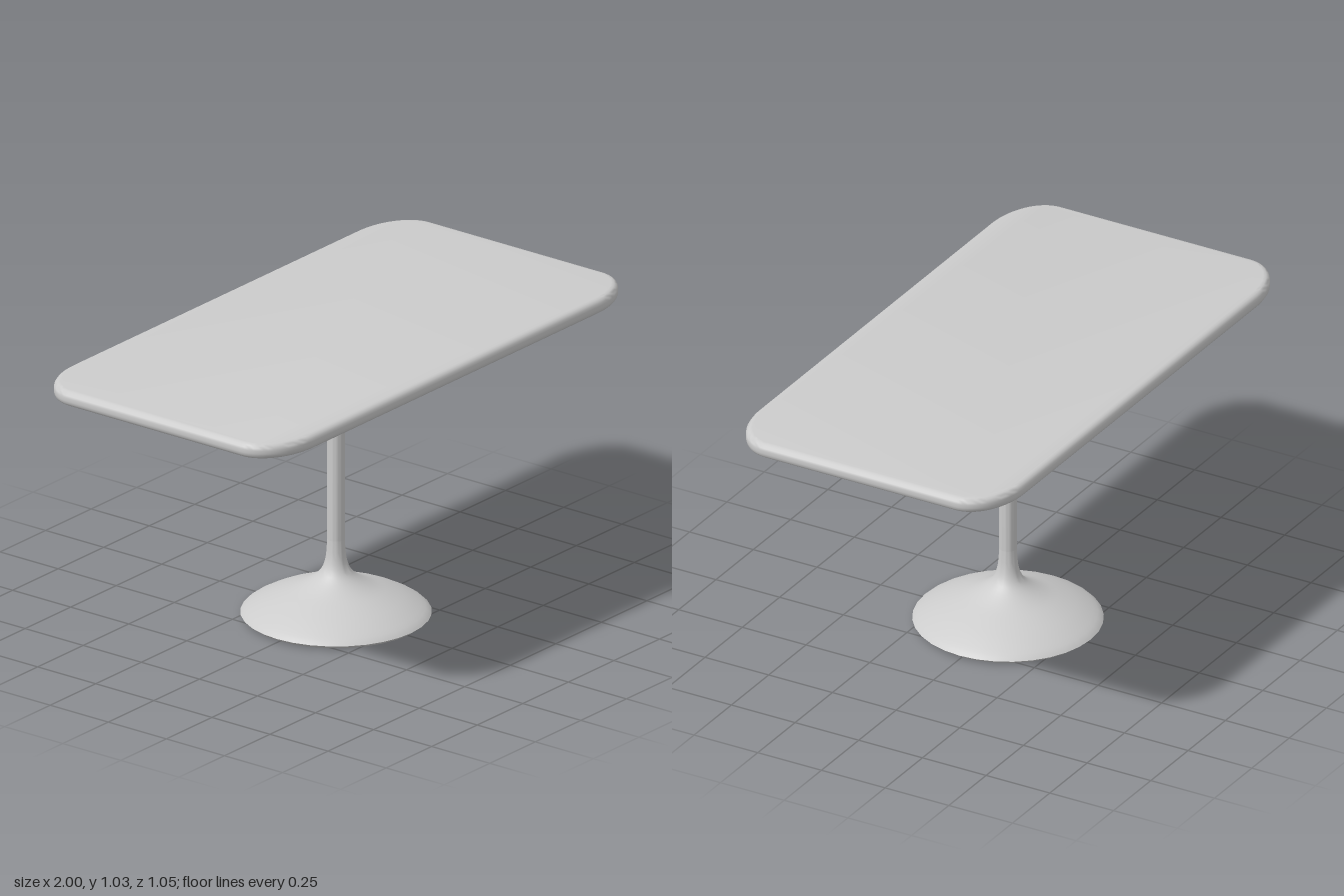
import * as THREE from 'three';
import { toCreasedNormals } from 'three/addons/utils/BufferGeometryUtils.js';

const material = new THREE.MeshStandardMaterial({ color: 0xcccccc });

function addPart(group, name, geometry, crease = 0.9) {
  const mesh = new THREE.Mesh(toCreasedNormals(geometry, crease), material);
  mesh.name = name;
  group.add(mesh);
}

// Rectangle with elliptical corners, half size w x d, corner radii rx, ry
function slabShape(w, d, rx, ry) {
  const shape = new THREE.Shape();
  const corners = [[1, 1, 0], [-1, 1, 1], [-1, -1, 2], [1, -1, 3]];
  for (const [sx, sy, q] of corners) {
    const cx = sx * (w - rx), cy = sy * (d - ry), a = q * Math.PI / 2;
    shape.absellipse(cx, cy, rx, ry, a, a + Math.PI / 2, false, 0);
  }
  shape.closePath();
  return shape;
}

export function createModel() {
  const group = new THREE.Group();
  group.name = 'pedestalTable';

  // Table top: thin slab with a rounded rim
  const bevel = 0.022;
  const top = new THREE.ExtrudeGeometry(slabShape(1 - bevel, 0.525 - bevel, 0.2, 0.13), {
    depth: 0.055 - 2 * bevel,
    bevelEnabled: true,
    bevelSize: bevel,
    bevelThickness: bevel,
    bevelSegments: 4,
    curveSegments: 8,
  });
  top.rotateX(-Math.PI / 2);
  top.translate(0, 0.979 + bevel, 0);
  addPart(group, 'tableTop', top);

  // Trumpet base, its flare running up into the column
  const flare = new THREE.SplineCurve([
    [0.325, 0.015], [0.305, 0.032], [0.25, 0.062], [0.19, 0.088], [0.13, 0.112],
    [0.08, 0.14], [0.05, 0.17], [0.035, 0.215], [0.03, 0.28],
  ].map(([r, y]) => new THREE.Vector2(r, y))).getPoints(24);
  const underside = [new THREE.Vector2(0, 0.002), new THREE.Vector2(0.31, 0.003)];
  addPart(group, 'base', new THREE.LatheGeometry([...underside, ...flare], 32));

  // Column
  const column = new THREE.CylinderGeometry(0.03, 0.03, 0.71, 32, 1, true);
  column.translate(0, 0.635, 0);
  addPart(group, 'column', column);

  return group;
}
